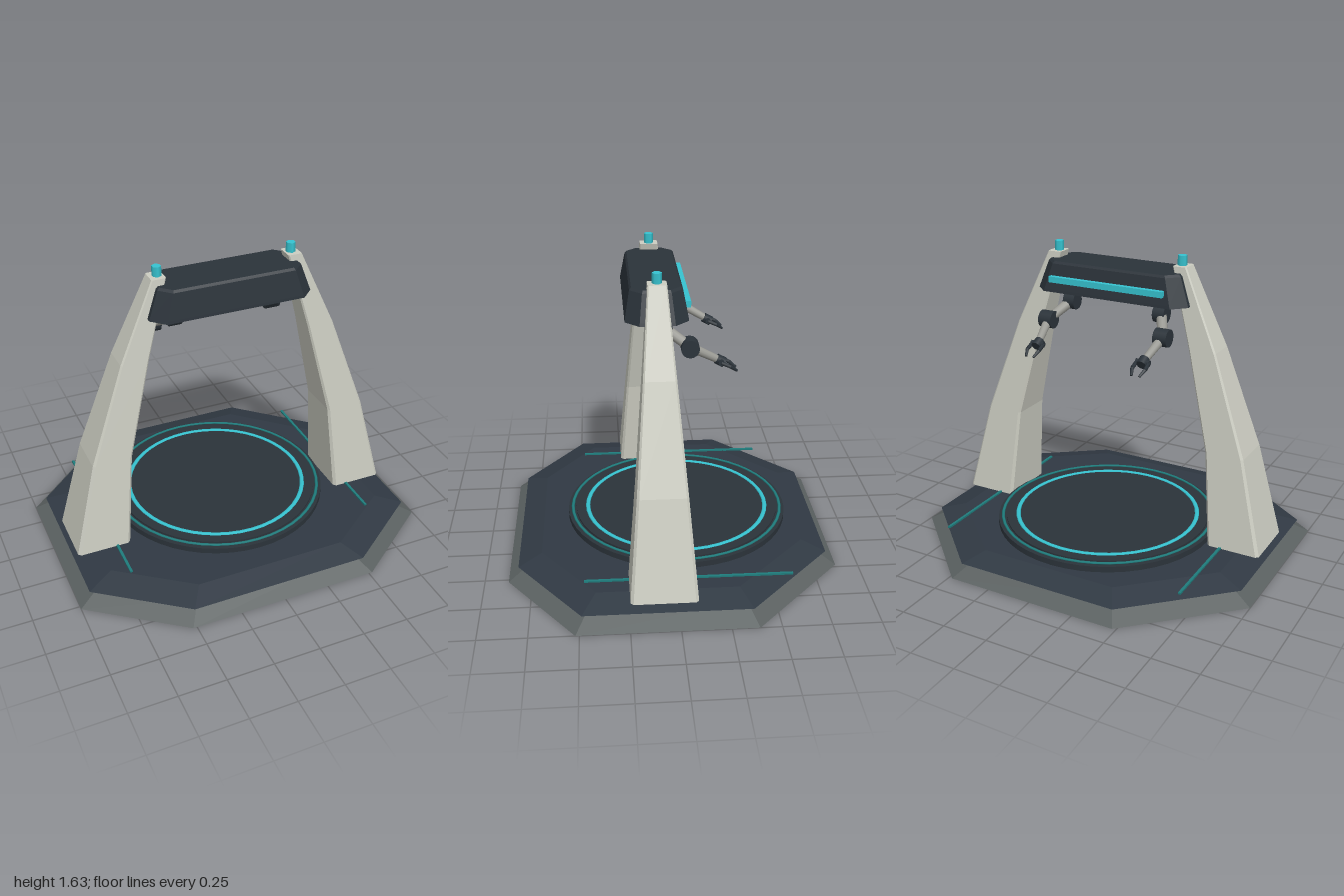
import * as THREE from 'three';

const mat = (name, color) => {
  const m = new THREE.MeshStandardMaterial({ color });
  m.name = name;
  return m;
};

// Flat-faced solid through equal-length loops, bottom to top, counterclockwise from above
function loft(loops) {
  const pos = [];
  const tri = (...pts) => pts.forEach((p) => pos.push(...p));
  const n = loops[0].length;
  const centre = (loop) => [0, 1, 2].map((k) => loop.reduce((s, p) => s + p[k], 0) / n);
  const first = loops[0], last = loops[loops.length - 1];
  const c0 = centre(first), c1 = centre(last);
  for (let i = 0; i < n; i++) {
    const j = (i + 1) % n;
    for (let k = 0; k + 1 < loops.length; k++) {
      const a = loops[k], b = loops[k + 1];
      tri(a[i], a[j], b[j]);
      tri(a[i], b[j], b[i]);
    }
    tri(c0, first[j], first[i]);
    tri(c1, last[i], last[j]);
  }
  const g = new THREE.BufferGeometry();
  g.setAttribute('position', new THREE.Float32BufferAttribute(pos, 3));
  g.computeVertexNormals();
  return g;
}

// Rectangle with cut corners at height y
const rect = (x0, x1, z0, z1, c, y) => [
  [x1, z1 - c], [x1, z0 + c], [x1 - c, z0], [x0 + c, z0],
  [x0, z0 + c], [x0, z1 - c], [x0 + c, z1], [x1 - c, z1],
].map(([x, z]) => [x, y, z]);

export function createModel() {
  const group = new THREE.Group();
  const M = {
    rim: mat('rim grey', 0x5a6060),
    deck: mat('deck slate', 0x303943),
    dark: mat('dark slate', 0x2b333a),
    shell: mat('pale shell', 0xcccdc2),
    metal: mat('arm metal', 0x9a9a94),
    glow: mat('bright cyan', 0x36c3d0),
    teal: mat('dim teal', 0x1f7c7c),
  };

  function add(name, geo, material, x = 0, y = 0, z = 0, parent = group) {
    const m = new THREE.Mesh(geo, material);
    m.name = name;
    m.position.set(x, y, z);
    parent.add(m);
    return m;
  }

  // Round bar between two points
  function bar(name, a, b, r0, r1, material, parent, sides = 12) {
    const A = new THREE.Vector3(...a), B = new THREE.Vector3(...b);
    const d = B.clone().sub(A);
    const m = add(name, new THREE.CylinderGeometry(r1, r0, d.length(), sides), material, 0, 0, 0, parent);
    m.position.copy(A).add(B).multiplyScalar(0.5);
    m.quaternion.setFromUnitVectors(new THREE.Vector3(0, 1, 0), d.normalize());
    return m;
  }

  // Octagonal base
  const plan = [[1, 0.52], [1, -0.39], [0.48, -0.88], [-0.48, -0.88],
    [-1, -0.39], [-1, 0.52], [-0.52, 0.875], [0.52, 0.875]];
  const octagon = (s, y) => plan.map(([x, z]) => [x * s, y, z * s]);
  add('baseRim', loft([octagon(1, 0), octagon(0.865, 0.072)]), M.rim);
  add('baseDeck', loft([octagon(0.94, 0.07), octagon(0.8, 0.108)]), M.deck);

  // Round platform with two inlaid rings
  const pz = -0.052;
  add('platform', new THREE.CylinderGeometry(0.615, 0.615, 0.04, 48), M.dark, 0, 0.12, pz);
  add('innerPlatform', new THREE.CylinderGeometry(0.57, 0.57, 0.03, 48), M.dark, 0, 0.135, pz);
  for (const [name, r, t, y, material] of [
    ['outerRing', 0.59, 0.009, 0.147, M.teal],
    ['innerRing', 0.505, 0.014, 0.148, M.glow],
  ]) {
    const ring = add(name, new THREE.TorusGeometry(r, t, 6, 48), material, 0, y, pz);
    ring.rotation.x = -Math.PI / 2;
    ring.scale.z = 0.6;
  }

  // Top beam with rear light strip
  add('beam', loft([
    rect(-0.445, 0.445, -0.082, 0.236, 0.07, 1.385),
    rect(-0.44, 0.44, -0.08, 0.234, 0.07, 1.4),
    rect(-0.392, 0.392, -0.055, 0.21, 0.06, 1.535),
    rect(-0.38, 0.38, -0.045, 0.2, 0.055, 1.547),
  ]), M.dark);
  add('beamLight', new THREE.BoxGeometry(0.67, 0.032, 0.03), M.glow, 0, 1.457, -0.08);

  // Leg sections: height, outer x, inner x
  const legRows = [[0.11, 0.922, 0.628], [0.625, 0.793, 0.58], [1.16, 0.6, 0.45], [1.58, 0.41, 0.333]];

  for (const s of [1, -1]) {
    const side = s > 0 ? 'left' : 'right';

    // Leg, top light and floor stripe
    add(side + 'Leg', loft(legRows.map(([y, outer, inner]) => {
      const half = 0.17 - (0.122 * (y - 0.11)) / 1.47;
      const x0 = Math.min(s * outer, s * inner), x1 = Math.max(s * outer, s * inner);
      return rect(x0, x1, 0.076 - half, 0.076 + half, 0.07 * half + 0.003, y);
    })), M.shell);
    add(side + 'TopLight', new THREE.CylinderGeometry(0.025, 0.025, 0.055, 6), M.glow, s * 0.367, 1.605, 0.076);
    add(side + 'FloorStripe', new THREE.BoxGeometry(0.014, 0.01, 1.075), M.teal, s * 0.705, 0.112, -0.063);

    // Jointed arm reaching to the back
    const arm = new THREE.Group();
    arm.name = side + 'Arm';
    group.add(arm);
    const shoulder = [s * 0.27, 1.318, 0.04];
    const elbow = [s * 0.343, 1.235, -0.09];
    const wrist = [s * 0.312, 1.145, -0.25];
    bar('shoulderJoint', [s * 0.237, 1.318, 0.04], [s * 0.303, 1.318, 0.04], 0.047, 0.047, M.dark, arm, 16);
    bar('upperArm', shoulder, elbow, 0.028, 0.026, M.metal, arm);
    bar('elbowJoint', [s * 0.305, 1.235, -0.09], [s * 0.381, 1.235, -0.09], 0.047, 0.047, M.dark, arm, 16);
    bar('forearm', elbow, wrist, 0.025, 0.019, M.metal, arm);
    bar('wristJoint', [s * 0.312, 1.157, -0.228], [s * 0.312, 1.135, -0.268], 0.027, 0.027, M.dark, arm);
    bar('palm', [s * 0.312 - 0.038, 1.145, -0.25], [s * 0.312 + 0.038, 1.145, -0.25], 0.016, 0.016, M.dark, arm, 8);

    // Two bent fingers
    for (const f of [-1, 1]) {
      const root = [s * 0.312 + f * 0.033, 1.145, -0.25];
      const knuckle = [s * 0.312 + f * 0.036, 1.124, -0.297];
      const tip = [s * 0.312 + f * 0.022, 1.097, -0.332];
      bar('fingerBase', root, knuckle, 0.011, 0.01, M.dark, arm, 6);
      bar('fingerTip', knuckle, tip, 0.01, 0.007, M.dark, arm, 6);
    }
  }
  return group;
}
